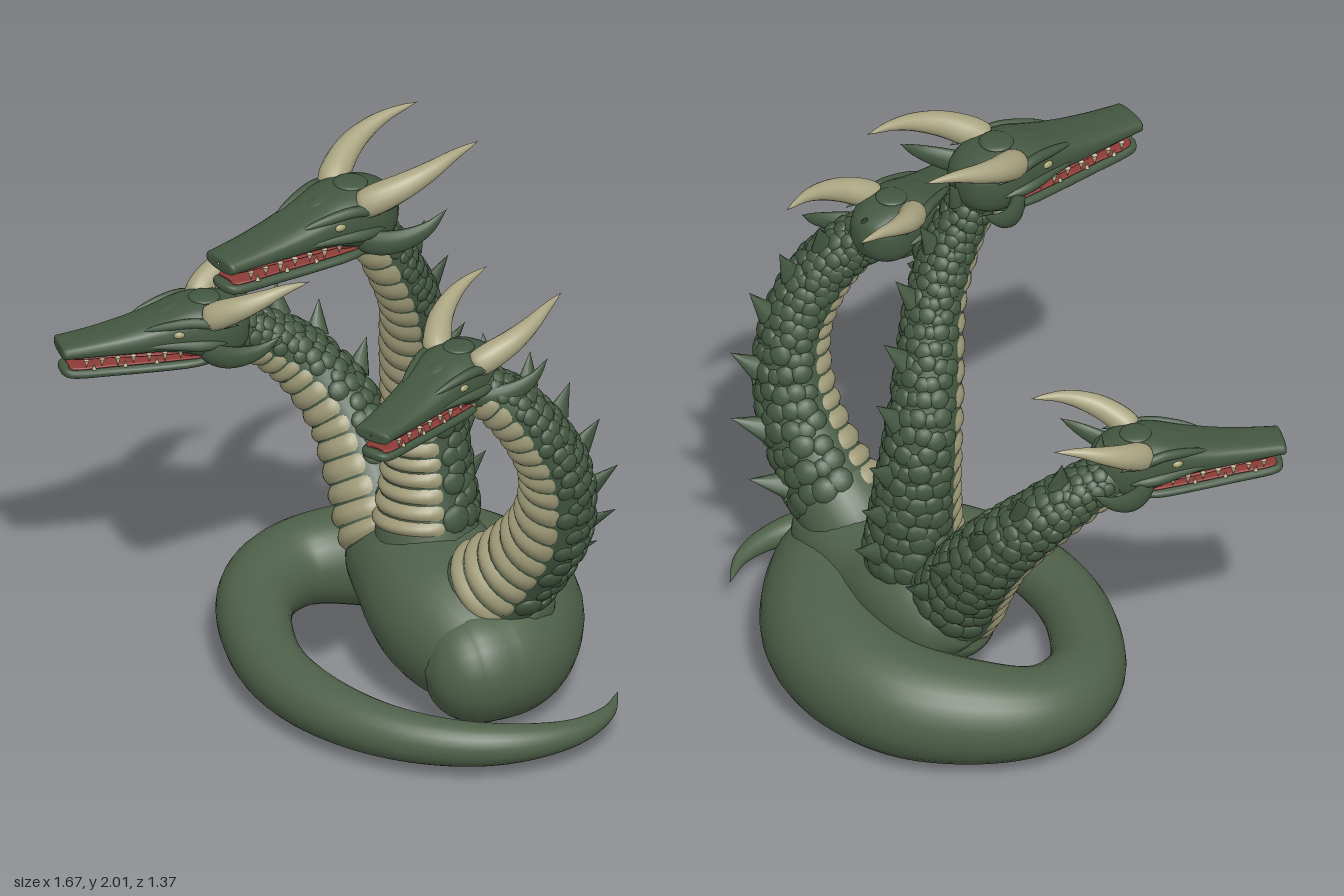
import * as THREE from 'three';
import { mergeGeometries } from 'three/addons/utils/BufferGeometryUtils.js';

const mat = (name, color, side = THREE.FrontSide) => {
  const m = new THREE.MeshStandardMaterial({ color, side });
  m.name = name;
  return m;
};
const V = (x, y, z) => new THREE.Vector3(x, y, z);

// Grid surface from f(u, v); v wraps round when closed
function surface(f, nu, nv, closed = true) {
  const pos = [], idx = [], w = closed ? nv : nv + 1;
  for (let i = 0; i <= nu; i++)
    for (let j = 0; j < w; j++) pos.push(...f(i / nu, j / nv).toArray());
  for (let i = 0; i < nu; i++)
    for (let j = 0; j < nv; j++) {
      const k = (j + 1) % w, a = i * w + j, b = i * w + k, c = b + w, d = a + w;
      idx.push(a, b, c, a, c, d);
    }
  const g = new THREE.BufferGeometry();
  g.setAttribute('position', new THREE.Float32BufferAttribute(pos, 3));
  g.setIndex(idx);
  g.computeVertexNormals();
  return g;
}

// Curve with varying radius and a frame kept turned towards "front"
function makeSpine(points, front) {
  const path = new THREE.CatmullRomCurve3(points.map(p => V(p[0], p[1], p[2])), false, 'catmullrom');
  const radii = new THREE.CatmullRomCurve3(points.map((p, i) => V(p[3], i, 0)), false, 'catmullrom');
  const frame = t => {
    const P = path.getPoint(t), T = path.getTangent(t);
    const F = V(...front).addScaledVector(T, -T.dot(V(...front))).normalize();
    return { P, T, F, S: T.clone().cross(F), r: Math.max(radii.getPoint(t).x, 0.0005) };
  };
  const at = (t, a, k = 1, flat = 1) => {
    const { P, F, S, r } = frame(t);
    return P.addScaledVector(F, Math.cos(a) * r * k).addScaledVector(S, Math.sin(a) * r * k * flat);
  };
  return { frame, at, length: path.getLength() };
}

// Tube along a spine, with rounded ends
function taperTube(points, front, nu, nv, flat = 1) {
  const s = makeSpine(points, front);
  const end = u => Math.min(1, Math.sqrt(Math.max(0, Math.min(u, 1 - u)) * nu / 2));
  return surface((u, v) => s.at(u, v * Math.PI * 2, end(u), flat), nu, nv);
}

// Closed shape from sections [z, halfWidth, top, bottom]
function loftHead(sections, power) {
  const sp = (c, q) => Math.sign(c) * Math.abs(c) ** q, n = sections.length - 1;
  const a = new THREE.CatmullRomCurve3(sections.map(s => V(s[0], s[1], s[2])), false, 'catmullrom');
  const b = new THREE.CatmullRomCurve3(sections.map(s => V(s[0], s[1], s[3])), false, 'catmullrom');
  return surface((u, v) => {
    const p = a.getPoint(u), q = b.getPoint(u), t = v * Math.PI * 2;
    return V(p.y * sp(Math.cos(t), power), (p.z + q.z) / 2 + (p.z - q.z) / 2 * sp(Math.sin(t), power), p.x);
  }, n * 3, 24);
}

export function createModel() {
  const bodyGreen = mat('body green', 0x4f614a), green = mat('scale green', 0x435741);
  const tan = mat('belly tan', 0x9f9a78, THREE.DoubleSide), horn = mat('horn', 0xaaa582);
  const red = mat('mouth red', 0x8c3b36), tooth = mat('tooth', 0xc9c09f);
  const eyeMat = mat('eye', 0xa3a070);
  const root = new THREE.Group();
  root.name = 'threeHeadedSerpent';
  const add = (parent, name, geo, m) => {
    const mesh = new THREE.Mesh(geo, m);
    mesh.name = name;
    parent.add(mesh);
    return mesh;
  };

  // Coiled body and tail, starting in a rounded bulb
  add(root, 'coiledTail', taperTube([
    [0.375, 0.22, 0.065, 0.01], [0.385, 0.22, 0.03, 0.12], [0.395, 0.22, -0.04, 0.18], [0.4, 0.22, -0.13, 0.203],
    [0.365, 0.215, -0.27, 0.212], [0.17, 0.205, -0.44, 0.21], [-0.05, 0.195, -0.49, 0.2],
    [-0.28, 0.185, -0.43, 0.185], [-0.45, 0.175, -0.27, 0.165], [-0.53, 0.165, -0.1, 0.143],
    [-0.49, 0.155, 0.07, 0.133], [-0.35, 0.14, 0.21, 0.12], [-0.1, 0.125, 0.325, 0.108],
    [0.15, 0.12, 0.35, 0.1], [0.4, 0.115, 0.295, 0.088], [0.6, 0.11, 0.17, 0.077],
    [0.73, 0.105, 0, 0.065], [0.785, 0.1, -0.2, 0.045], [0.75, 0.1, -0.37, 0.025], [0.65, 0.1, -0.49, 0.002],
  ], [0, 1, 0], 120, 28), bodyGreen);
  add(root, 'torso', taperTube([
    [0.55, 0.24, -0.16, 0.06], [0.5, 0.24, -0.155, 0.14], [0.41, 0.245, -0.145, 0.19], [0.3, 0.262, -0.145, 0.222],
    [0.17, 0.29, -0.15, 0.23], [0, 0.325, -0.17, 0.205], [-0.17, 0.35, -0.18, 0.15], [-0.27, 0.4, -0.19, 0.08],
  ], [0, 0, 1], 42, 32), bodyGreen);
  add(root, 'shoulders', taperTube([
    [0.52, 0.38, -0.26, 0.05], [0.45, 0.38, -0.265, 0.12], [0.34, 0.375, -0.265, 0.145], [0.15, 0.365, -0.255, 0.155],
    [-0.02, 0.39, -0.26, 0.16], [-0.16, 0.38, -0.25, 0.145], [-0.25, 0.4, -0.23, 0.11], [-0.31, 0.42, -0.22, 0.05],
  ], [0, 0, 1], 36, 28), bodyGreen);

  const bump = new THREE.IcosahedronGeometry(1, 1);
  const place = (geo, X, Y, Z, P) =>
    geo.clone().applyMatrix4(new THREE.Matrix4().makeBasis(X, Y, Z).setPosition(P));

  function buildNeck(name, points, front, start, scaleStart) {
    const g = new THREE.Group(), s = makeSpine(points, front);
    g.name = name;
    root.add(g);
    // Smooth flared root, then the scaled neck
    const skin = (t0, t1, n) => surface((u, v) => s.at(t0 + (t1 - t0) * u, v * Math.PI * 2), n, 28);
    add(g, 'neckRoot', skin(0, scaleStart, 12), bodyGreen);
    add(g, 'neckSkin', skin(scaleStart, 1, 40), green);

    // Overlapping belly plates with narrow gaps
    const count = Math.round(s.length * (1 - start) / 0.064), plates = [];
    for (let i = 0; i < count; i++) {
      const t0 = start + (1 - start) * i / count, dt = (1 - start) / count * 0.88;
      plates.push(surface((u, v) => {
        const lift = 0.98 + 0.12 * Math.sin(Math.PI * Math.min(1, u * 0.85 + 0.1)) * Math.sin(Math.PI * v) ** 0.3;
        return s.at(t0 + dt * u, (v - 0.5) * 2.5, lift);
      }, 6, 14, false));
    }
    add(g, 'bellyPlates', mergeGeometries(plates), tan);

    // Uneven, staggered rows of round scales over the back and sides
    const scales = [], wobble = k => Math.sin(k * 12.9898) * Math.cos(k * 4.1414);
    let row = 0;
    for (let t = scaleStart; t < 0.97; row++) {
      const f0 = s.frame(t), per = 9;
      for (let i = 0; i < per; i++) {
        const k = row * per + i, tt = Math.min(0.98, t + wobble(k) * 0.1 * f0.r / s.length), f = s.frame(tt);
        const a = 1.4 + (i + (row % 2 ? 0.75 : 0.25) + wobble(k + 0.5) * 0.16) / per * (Math.PI * 2 - 2.8);
        const out = f.F.clone().multiplyScalar(Math.cos(a)).addScaledVector(f.S, Math.sin(a));
        const side = f.T.clone().cross(out), w = f.r * (0.28 + 0.05 * wobble(k + 0.8));
        scales.push(place(bump, side.clone().multiplyScalar(w), f.T.clone().multiplyScalar(w),
          out.multiplyScalar(w * 0.45), s.at(tt, a, 0.965)));
      }
      t += f0.r * 0.42 / s.length;
    }
    add(g, 'neckScales', mergeGeometries(scales), green);

    // Spines down the back
    const spikes = [], cone = new THREE.ConeGeometry(1, 1, 10).translate(0, 0.5, 0);
    const n = Math.round(s.length * 5.5);
    for (let i = 0; i < n; i++) {
      const t = scaleStart + 0.04 + (0.92 - scaleStart) * i / (n - 1), f = s.frame(t);
      const Y = f.F.clone().multiplyScalar(-0.82).addScaledVector(f.T, 0.57).normalize();
      const Z = f.S.clone().cross(Y), size = 0.6 + f.r * 3;
      spikes.push(place(cone, f.S.clone().multiplyScalar(0.028 * size), Y.multiplyScalar(0.125 * size),
        Z.multiplyScalar(0.045 * size), s.at(t, Math.PI, 0.93)));
    }
    add(g, 'backSpines', mergeGeometries(spikes), green);
  }

  function buildHead(name, position, yaw, scale, hornReach) {
    const g = new THREE.Group();
    g.name = name;
    g.position.set(...position);
    g.rotation.y = yaw;
    g.scale.setScalar(scale);
    root.add(g);
    const ball = (label, m, x, y, z, sx, sy, sz) => {
      const b = add(g, label, new THREE.SphereGeometry(1, 18, 12), m);
      b.position.set(x, y, z);
      b.scale.set(sx, sy, sz);
      return b;
    };
    // Skull with long snout, and the lower jaw
    add(g, 'skull', loftHead([
      [-0.15, 0.002, 0.08, 0.06], [-0.13, 0.07, 0.135, 0], [-0.07, 0.112, 0.17, -0.035], [0.01, 0.125, 0.183, -0.035],
      [0.09, 0.12, 0.175, -0.005], [0.17, 0.107, 0.15, 0.014], [0.28, 0.093, 0.12, 0.02], [0.4, 0.08, 0.098, 0.026],
      [0.5, 0.072, 0.086, 0.03], [0.53, 0.066, 0.08, 0.034], [0.532, 0.002, 0.06, 0.055],
    ], 0.75), green);
    add(g, 'lowerJaw', loftHead([
      [-0.06, 0.002, -0.02, -0.03], [-0.04, 0.07, 0.0, -0.045], [0.06, 0.1, -0.008, -0.052], [0.2, 0.09, -0.012, -0.054],
      [0.35, 0.075, -0.012, -0.053], [0.48, 0.064, -0.01, -0.05], [0.52, 0.045, -0.01, -0.042], [0.53, 0.002, -0.02, -0.03],
    ], 0.7), green);
    // Mouth lining: floor, palate following the upper jaw, and throat
    const lining = (label, y, rise) => add(g, label, loftHead([
      [0, 0.002, y + 0.013, y], [0.01, 0.085, y + 0.013, y], [0.2, 0.08, y + 0.013, y],
      [0.35, 0.064, y + 0.013 + rise, y + rise], [0.49, 0.05, y + 0.013 + rise * 2, y + rise * 2],
      [0.5, 0.002, y + 0.013 + rise * 2, y + rise * 2],
    ], 0.6), red);
    lining('mouthFloor', -0.016, 0);
    lining('palate', 0.012, 0.007);
    ball('throat', red, 0, 0.005, 0.06, 0.085, 0.03, 0.07);

    // Small teeth in both jaws
    const teeth = [];
    for (const s of [-1, 1])
      for (let i = 0; i < 7; i++) {
        const z = 0.12 + i * 0.055, x = s * (0.088 - (z - 0.12) * 0.08), h = i % 3 === 1 ? 0.038 : 0.03;
        teeth.push(new THREE.ConeGeometry(0.01, h, 7).rotateX(Math.PI).translate(x, 0.028 - h / 2, z));
        if (i % 2) teeth.push(new THREE.ConeGeometry(0.008, 0.026, 7).translate(x * 0.92, 0, z + 0.027));
      }
    add(g, 'teeth', mergeGeometries(teeth), tooth);

    // Crown boss and snout ridge
    ball('crownBoss', green, 0, 0.178, 0.01, 0.056, 0.014, 0.056);
    ball('snoutRidge', green, 0, 0.145, 0.13, 0.04, 0.02, 0.065).rotation.x = 0.25;

    for (const s of [-1, 1]) {
      // Horns, cheek fins, brows and eyes
      const hornMesh = add(g, 'horn', taperTube([
        [s * 0.07, 0.125, 0.04, 0.042], [s * 0.108, 0.158, -0.01, 0.05], [s * 0.15, 0.198, -0.09, 0.043],
        [s * 0.17, 0.232, -0.18, 0.031], [s * 0.17, 0.257, -0.27, 0.018], [s * 0.16, 0.27, -0.38, 0.002],
      ], [0, 1, 0], 24, 16), horn);
      hornMesh.scale.z = hornReach;
      add(g, 'cheekFin', taperTube([
        [s * 0.07, 0.02, 0.05, 0.03], [s * 0.13, 0.012, 0, 0.042], [s * 0.185, 0.028, -0.06, 0.038],
        [s * 0.222, 0.063, -0.13, 0.024], [s * 0.232, 0.115, -0.2, 0.002],
      ], [0, 1, 0], 20, 14, 0.6), green);
      add(g, 'brow', taperTube([
        [s * 0.066, 0.112, 0.26, 0.005], [s * 0.088, 0.13, 0.17, 0.015], [s * 0.108, 0.14, 0.08, 0.018],
        [s * 0.122, 0.128, 0, 0.015], [s * 0.132, 0.12, -0.08, 0.003],
      ], [0, 1, 0], 18, 10), green);
      add(g, 'cheekRidge', taperTube([
        [s * 0.085, 0.06, 0.27, 0.004], [s * 0.105, 0.06, 0.15, 0.015], [s * 0.122, 0.055, 0.05, 0.02],
        [s * 0.12, 0.05, -0.04, 0.01],
      ], [0, 1, 0], 14, 10), green);
      ball('eye', eyeMat, s * 0.108, 0.102, 0.13, 0.012, 0.013, 0.021);
    }
  }

  buildNeck('middleNeck', [
    [0.02, 0.37, -0.2, 0.17], [-0.01, 0.5, -0.22, 0.165], [-0.03, 0.66, -0.235, 0.143], [-0.045, 0.82, -0.235, 0.13],
    [-0.045, 1.0, -0.215, 0.118], [0.01, 1.2, -0.155, 0.105], [0.08, 1.4, -0.085, 0.093],
    [0.115, 1.58, 0.01, 0.085], [0.105, 1.76, 0.11, 0.075],
  ], [0.1, 0, 1], 0.13, 0.17);
  buildNeck('rightNeck', [
    [-0.07, 0.32, -0.19, 0.11], [-0.18, 0.42, -0.19, 0.15], [-0.29, 0.575, -0.195, 0.135], [-0.405, 0.74, -0.185, 0.119],
    [-0.515, 0.89, -0.11, 0.103], [-0.58, 0.99, 0, 0.09], [-0.62, 1.065, 0.14, 0.075],
  ], [-0.25, 0, 1], 0.15, 0.25);
  buildNeck('leftNeck', [
    [0.26, 0.33, -0.2, 0.14], [0.35, 0.44, -0.225, 0.16], [0.48, 0.59, -0.26, 0.14], [0.6, 0.77, -0.27, 0.126],
    [0.66, 0.97, -0.24, 0.111], [0.66, 1.13, -0.17, 0.101], [0.62, 1.26, -0.08, 0.091], [0.545, 1.355, 0.03, 0.075],
  ], [-0.2, 0, 1], 0.14, 0.235);

  buildHead('middleHead', [0.1, 1.73, 0.15], 0.02, 1, 1);
  buildHead('rightHead', [-0.62, 1.02, 0.2], -0.34, 0.92, 0.85);
  buildHead('leftHead', [0.53, 1.31, 0.04], 0.32, 0.91, 1);
  return root;
}
